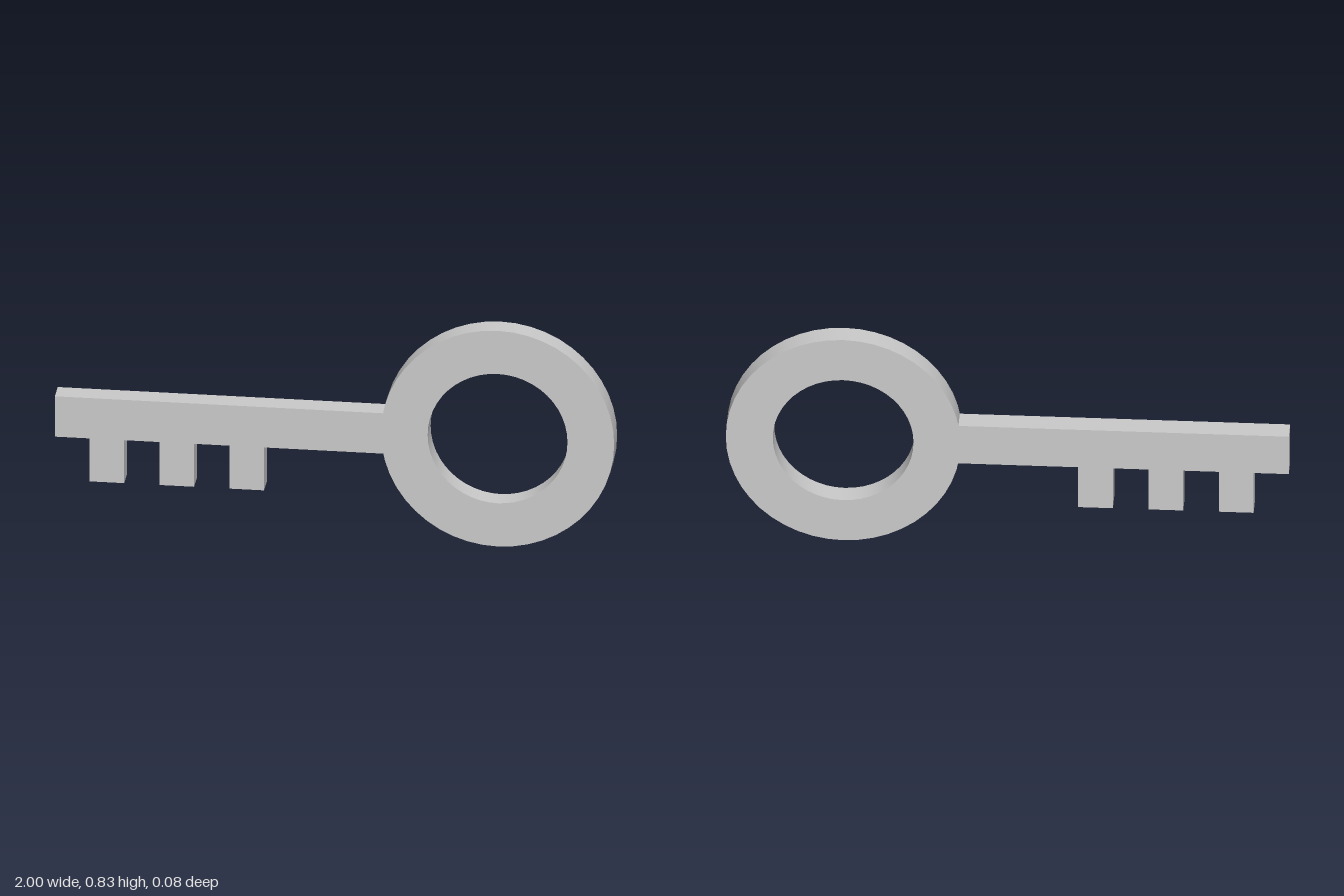
import * as THREE from 'three';
import { toCreasedNormals } from 'three/addons/utils/BufferGeometryUtils.js';

const THICKNESS = 0.083;

// Extrude a flat outline to the key's thickness, centred on z = 0
function plate(name, shape, material) {
  const extruded = new THREE.ExtrudeGeometry(shape, {
    depth: THICKNESS, bevelEnabled: false, curveSegments: 24,
  });
  extruded.translate(0, 0, -THICKNESS / 2);
  const mesh = new THREE.Mesh(toCreasedNormals(extruded, Math.PI / 6), material);
  mesh.name = name;
  return mesh;
}

export function createModel() {
  const key = new THREE.Group();
  key.name = 'key';
  const material = new THREE.MeshStandardMaterial({ color: 0xcccccc });

  // Ring-shaped handle
  const ring = new THREE.Shape();
  ring.absarc(0, 0, 0.417, 0, Math.PI * 2, false);
  const hole = new THREE.Path();
  hole.absarc(0, 0, 0.25, 0, Math.PI * 2, true);
  ring.holes.push(hole);
  const handle = plate('ringHandle', ring, material);
  handle.position.set(0.583, 0.417, 0);
  key.add(handle);

  // Shaft with three square teeth along its lower edge, its end sunk into the ring
  const top = 0.492, bottom = 0.336, toothBottom = 0.17, toothWidth = 0.123;
  const blade = new THREE.Shape();
  blade.moveTo(-1, top);
  blade.lineTo(-1, bottom);
  for (const x of [-0.875, -0.625, -0.375]) {
    blade.lineTo(x, bottom);
    blade.lineTo(x, toothBottom);
    blade.lineTo(x + toothWidth, toothBottom);
    blade.lineTo(x + toothWidth, bottom);
  }
  blade.lineTo(0.23, bottom);
  blade.lineTo(0.23, top);
  blade.closePath();
  key.add(plate('shaftWithTeeth', blade, material));

  return key;
}
